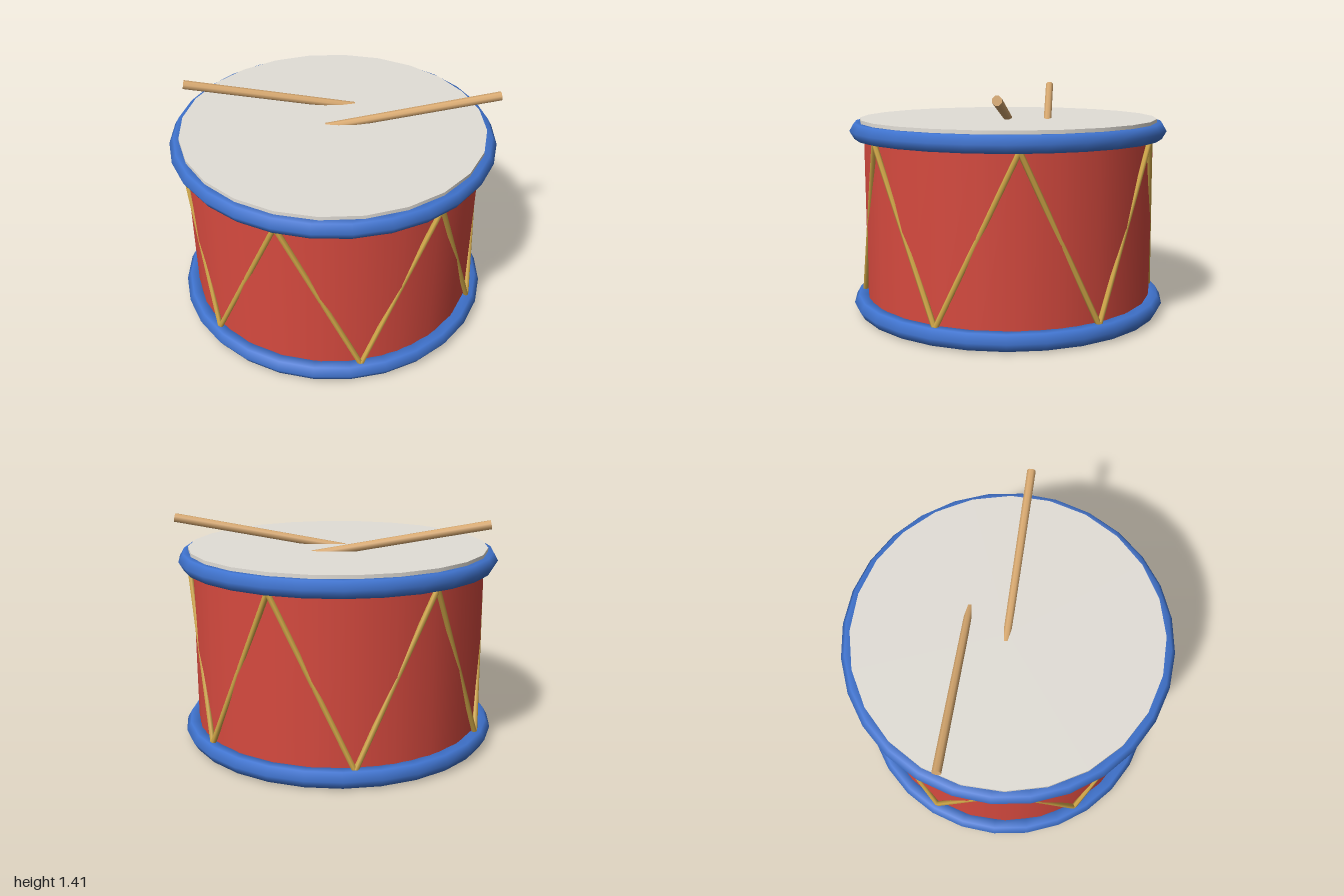
import * as THREE from 'three';

const mat = (name, color) => {
  const m = new THREE.MeshStandardMaterial({ color });
  m.name = name;
  return m;
};

export function createModel() {
  const drum = new THREE.Group();
  drum.name = 'drum';

  const red = mat('red shell', 0xd64a3f);
  const blue = mat('blue rim', 0x4074cf);
  const cream = mat('pale drumhead', 0xe2ded7);
  const gold = mat('gold rope', 0xd2a848);
  const wood = mat('light wood', 0xd8a970);

  const add = (name, geometry, material, parent = drum) => {
    const mesh = new THREE.Mesh(geometry, material);
    mesh.name = name;
    parent.add(mesh);
    return mesh;
  };

  // Round bar between two points
  const bar = (name, a, b, rA, rB, sides, material, parent) => {
    const dir = b.clone().sub(a);
    const mesh = add(name, new THREE.CylinderGeometry(rB, rA, dir.length(), sides), material, parent);
    mesh.position.copy(a).add(b).multiplyScalar(0.5);
    mesh.quaternion.setFromUnitVectors(new THREE.Vector3(0, 1, 0), dir.normalize());
    return mesh;
  };

  // Shell and drumhead
  add('shell', new THREE.CylinderGeometry(0.916, 0.916, 1.2, 24), red).position.y = 0.6;
  add('drumhead', new THREE.CylinderGeometry(0.938, 0.938, 0.04, 24), cream).position.y = 1.203;

  // Top and bottom rims
  for (const [name, y] of [['topRim', 1.152], ['bottomRim', 0.058]]) {
    const rim = add(name, new THREE.TorusGeometry(0.943, 0.057, 6, 28), blue);
    rim.rotation.x = Math.PI / 2;
    rim.position.y = y;
  }

  // Zigzag rope: twelve strands, high at the front, low at the sides
  const ropes = new THREE.Group();
  ropes.name = 'ropes';
  drum.add(ropes);
  const knot = (i) => {
    const a = (i * Math.PI) / 6;
    return new THREE.Vector3(Math.sin(a) * 0.935, i % 2 ? 0.095 : 1.11, Math.cos(a) * 0.935);
  };
  for (let i = 0; i < 12; i++) bar('rope', knot(i), knot(i + 1), 0.017, 0.017, 6, gold, ropes);

  // Two sticks resting with their tips on the head, turned half round from each other
  for (const s of [1, -1]) {
    const z0 = -0.14;
    const butt = new THREE.Vector3(s * 0.945, 1.385, z0 - s * 0.262);
    const tip = new THREE.Vector3(s * -0.085, 1.192, z0 + s * 0.17);
    bar(s > 0 ? 'leftStick' : 'rightStick', butt, tip, 0.028, 0.025, 8, wood);
  }

  return drum;
}
